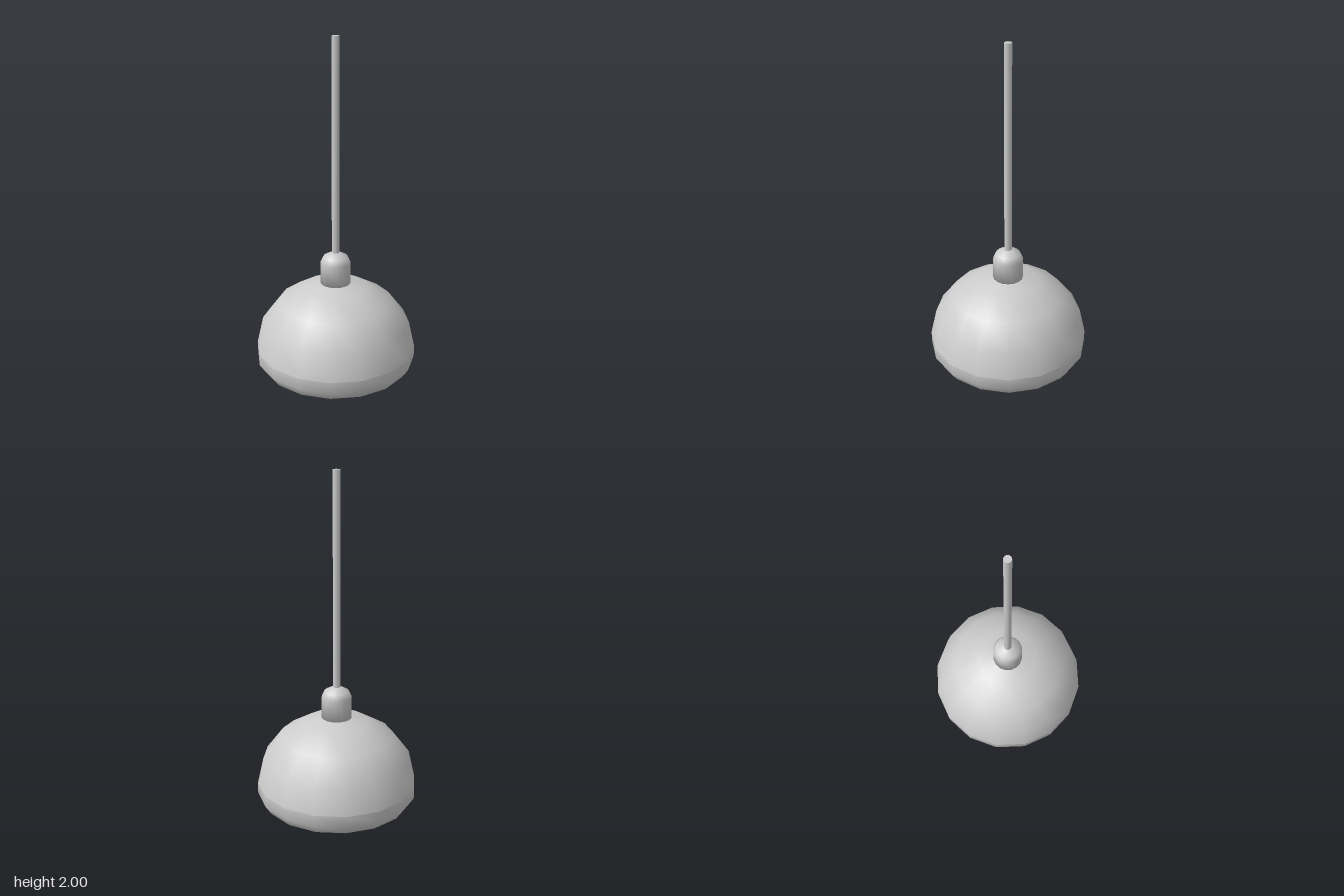
import * as THREE from 'three';

const material = new THREE.MeshStandardMaterial({ color: 0xcccccc, side: THREE.DoubleSide });

// Turned part from [radius, height] points, listed along the profile
function turned(name, points, sides) {
  const profile = points.map(([r, y]) => new THREE.Vector2(r, y));
  const mesh = new THREE.Mesh(new THREE.LatheGeometry(profile, sides), material);
  mesh.name = name;
  return mesh;
}

// Quarter-ellipse points from the equator at height y up to the pole
function dome(radius, height, y, steps) {
  return Array.from({ length: steps + 1 }, (_, i) => {
    const a = (i / steps) * Math.PI / 2;
    return [i === steps ? 0 : radius * Math.cos(a), y + height * Math.sin(a)];
  });
}

export function createModel() {
  const model = new THREE.Group();
  model.name = 'pendantLamp';

  // Shade: domed top, with a crease where it meets the inward-curled rim
  const shade = new THREE.Group();
  shade.name = 'shade';
  shade.add(turned('shadeDome', dome(0.474, 0.415, 0.157, 4), 16));
  shade.add(turned('shadeRim', [
    [0.355, 0], [0.437, 0.035], [0.474, 0.09], [0.474, 0.157],
  ], 16));

  // Lining: narrow lip at the opening, then the inner wall up to the pole
  shade.add(turned('shadeLining', [
    ...dome(0.458, 0.4, 0.157, 4).reverse(),
    [0.458, 0.095], [0.425, 0.047], [0.35, 0.016], [0.355, 0],
  ], 16));
  model.add(shade);

  // Socket cap with a rounded top
  model.add(turned('socketCap', [
    [0, 0.56], [0.089, 0.56], [0.089, 0.688], [0.072, 0.724], [0.028, 0.748], [0, 0.752],
  ], 16));

  // Hanging cord
  const cord = new THREE.Mesh(new THREE.CylinderGeometry(0.022, 0.022, 1.26, 8), material);
  cord.name = 'cord';
  cord.position.y = 1.37;
  model.add(cord);

  return model;
}
